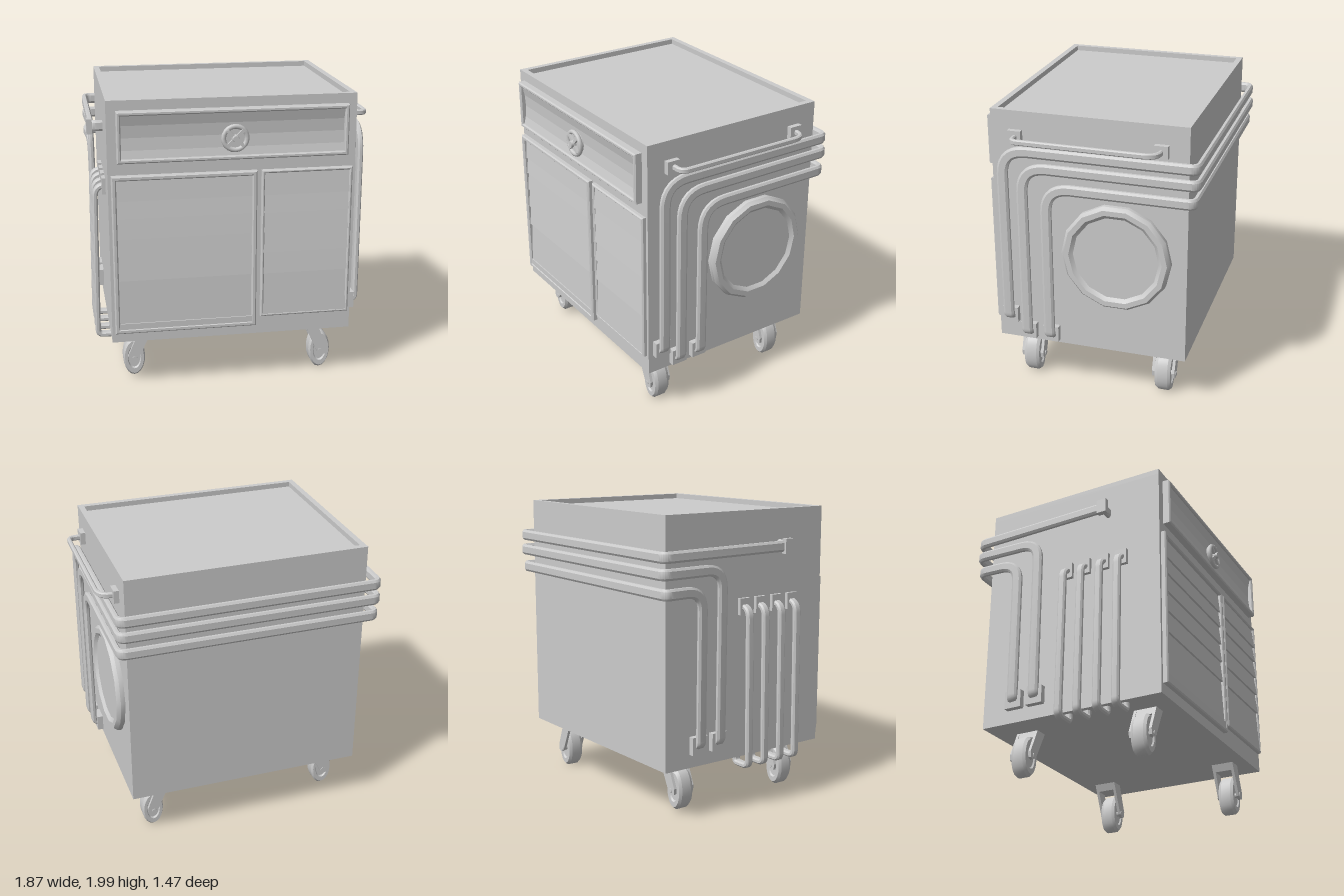
import * as THREE from 'three';
import { toCreasedNormals } from 'three/addons/utils/BufferGeometryUtils.js';

const V = (x, y, z) => new THREE.Vector3(x, y, z);

export function createModel() {
  const root = new THREE.Group();
  const mat = new THREE.MeshStandardMaterial({ color: 0xcccccc });

  const add = (name, geo, parent = root) => {
    const m = new THREE.Mesh(geo, mat);
    m.name = name;
    parent.add(m);
    return m;
  };
  // Box given by its limits
  const box = (name, x0, x1, y0, y1, z0, z1, parent) => {
    const m = add(name, new THREE.BoxGeometry(x1 - x0, y1 - y0, z1 - z0), parent);
    m.position.set((x0 + x1) / 2, (y0 + y1) / 2, (z0 + z1) / 2);
    return m;
  };
  const poly = (pts) => new THREE.Shape(pts.map(([x, y]) => new THREE.Vector2(x, y)));
  const rect = (x0, x1, y0, y1) => poly([[x0, y0], [x1, y0], [x1, y1], [x0, y1]]);
  // Rectangular frame with a bevelled front edge, growing along z
  const frameGeo = (x0, x1, y0, y1, w, depth, b = 0.008) => {
    const s = rect(x0 + b, x1 - b, y0 + b, y1 - b);
    s.holes.push(rect(x0 + w, x1 - w, y0 + w, y1 - w));
    return new THREE.ExtrudeGeometry(s, {
      depth: depth - b, bevelEnabled: b > 0, bevelThickness: b, bevelSize: b, bevelSegments: 1,
    });
  };
  // Profile of [z, y] points drawn out from x0 to x1
  const profileGeo = (pts, x0, x1) =>
    new THREE.ExtrudeGeometry(poly(pts.map(([z, y]) => [-z, y])), { depth: x1 - x0, bevelEnabled: false })
      .rotateY(Math.PI / 2).translate(x0, 0, 0);

  // Polyline with rounded corners: each point may carry a corner radius
  const rounded = (pts) => {
    const out = [pts[0][0]];
    for (let i = 1; i < pts.length - 1; i++) {
      const [p, r] = pts[i];
      const a = pts[i - 1][0].clone().sub(p).setLength(r).add(p);
      const b = pts[i + 1][0].clone().sub(p).setLength(r).add(p);
      out.push(...new THREE.QuadraticBezierCurve3(a, p, b).getPoints(7));
    }
    out.push(pts[pts.length - 1][0]);
    return out;
  };
  // Flat rounded bar swept along a path, its broad face starting towards n0
  const sweep = (pts, n0, halfW, halfT) => {
    const path = rounded(pts), pos = [], idx = [], n = n0.clone();
    const section = [[1, 0.45], [0.6, 1], [-0.6, 1], [-1, 0.45], [-1, -0.45], [-0.6, -1], [0.6, -1], [1, -0.45]];
    const k = section.length;
    path.forEach((p, i) => {
      const t = V(0, 0, 0);
      if (i > 0) t.add(p.clone().sub(path[i - 1]).normalize());
      if (i < path.length - 1) t.add(path[i + 1].clone().sub(p).normalize());
      t.normalize();
      n.addScaledVector(t, -n.dot(t)).normalize();
      const side = n.clone().cross(t);
      section.forEach(([u, v], j) => {
        pos.push(...p.clone().addScaledVector(side, u * halfW).addScaledVector(n, v * halfT).toArray());
        if (i < path.length - 1) {
          const a = i * k + j, b = i * k + (j + 1) % k;
          idx.push(a, b, b + k, a, b + k, a + k);
        }
      });
    });
    const g = new THREE.BufferGeometry();
    g.setAttribute('position', new THREE.Float32BufferAttribute(pos, 3));
    g.setIndex(idx);
    return toCreasedNormals(g, 0.6);
  };

  // Cabinet with a shallow tray top
  box('cabinet', -0.83, 0.8, 0.36, 1.965, -0.65, 0.66);
  add('topRim', frameGeo(-0.83, 0.8, -0.66, 0.65, 0.04, 0.04, 0).rotateX(-Math.PI / 2)).position.y = 1.96;

  // Top drawer with a hollowed panel
  add('drawerFrame', frameGeo(-0.77, 0.74, 1.6, 1.935, 0.02, 0.056)).position.z = 0.655;
  add('drawerPanel', profileGeo([[0.65, 1.61], [0.7, 1.61], [0.682, 1.68], [0.675, 1.76],
    [0.68, 1.84], [0.7, 1.925], [0.65, 1.925]], -0.755, 0.725));

  // Round drawer handle with crossed spokes
  const knob = new THREE.Group();
  knob.name = 'drawerHandle';
  knob.position.set(-0.01, 1.74, 0.7);
  root.add(knob);
  add('handleRim', new THREE.TorusGeometry(0.077, 0.016, 8, 20), knob);
  const back = add('handleBase', new THREE.CylinderGeometry(0.08, 0.08, 0.03, 20), knob);
  back.rotation.x = Math.PI / 2;
  back.position.z = -0.015;
  for (const a of [1, -1]) {
    const spoke = add('handleSpoke', new THREE.BoxGeometry(0.15, 0.022, 0.022), knob);
    spoke.rotation.z = a * Math.PI / 4;
    spoke.position.z = 0.006;
  }
  const hub = add('handleHub', new THREE.CylinderGeometry(0.02, 0.026, 0.036, 12), knob);
  hub.rotation.x = Math.PI / 2;
  hub.position.z = 0.015;

  // Louvred doors: overlapping slats inside a frame
  const louvres = (name, x0, x1, ys, zIn, zOut) => {
    const pts = [[0.64, ys[0]]];
    for (let i = 0; i < ys.length - 1; i++) pts.push([zIn, ys[i]], [zOut, ys[i + 1]]);
    pts.push([0.64, ys[ys.length - 1]]);
    add(name, profileGeo(pts, x0, x1));
  };
  const slats = [1.345, 1.225, 1.09, 0.95, 0.8];
  add('leftDoorFrame', frameGeo(-0.81, 0.14, 0.43, 1.515, 0.024, 0.04)).position.z = 0.655;
  box('leftDoorSill', -0.8, 0.13, 0.44, 0.5, 0.65, 0.69);
  louvres('leftDoorSlats', -0.79, 0.12, [1.5, ...slats, 0.49], 0.668, 0.682);
  add('rightDoorFrame', frameGeo(0.17, 0.78, 0.49, 1.515, 0.014, 0.034)).position.z = 0.655;
  louvres('rightDoorSlats', 0.18, 0.77, [1.505, ...slats, 0.5], 0.672, 0.687);

  // Round cover on the side
  const cover = [[0.37, 0], [0.37, 0.03], [0.35, 0.055], [0.315, 0.055], [0.29, 0.035], [0, 0.035]];
  const coverGeo = new THREE.LatheGeometry(cover.map(([r, y]) => new THREE.Vector2(r, y)), 14);
  add('sideCover', toCreasedNormals(coverGeo.rotateZ(-Math.PI / 2), 0.5)).position.set(0.8, 1.067, -0.18);

  // Three flat pipes wrapping round the back of the cabinet
  const XR = 0.857, XL = -0.905;
  const pipes = [
    { y: 1.75, z: 0.57, foot: 0.545, back: -0.712, left: [[V(XL, 1.76, 0.28), 0.04], [V(-0.82, 1.76, 0.28)]] },
    { y: 1.645, z: 0.44, foot: 0.44, back: -0.717, leftZ: -0.24 },
    { y: 1.52, z: 0.28, foot: 0.44, back: -0.7, leftZ: -0.4 },
  ];
  for (const { y, z, foot, back: zb, left, leftZ } of pipes) {
    const end = left || [[V(XL + 0.02, y, leftZ), 0.13], [V(XL + 0.03, 0.5, leftZ), 0.04], [V(-0.82, 0.5, leftZ)]];
    add('wrapPipe', sweep([
      [V(0.79, foot - 0.01, z)], [V(XR, foot - 0.01, z), 0.04], [V(XR, y, z), 0.17],
      [V(XR, y, zb), 0.05], [V(XL, y, zb), 0.05], ...end,
    ], V(0, -1, 0), 0.036, 0.018));
    box('pipeFoot', 0.79, 0.84, foot - 0.055, foot + 0.055, z - 0.055, z + 0.055);
    if (leftZ) box('pipeFoot', -0.87, -0.82, 0.45, 0.57, leftZ - 0.06, leftZ + 0.06);
    else box('pipeEndCap', -0.937, -0.9, 1.71, 1.81, 0.245, 0.315);
  }

  // Four hanging pipes on the other side, tucked under the base
  for (const z of [-0.025, 0.11, 0.25, 0.385]) {
    add('hangingPipe', sweep([
      [V(-0.82, 1.38, z)], [V(-0.9, 1.38, z), 0.075], [V(-0.912, 0.31, z), 0.04],
      [V(-0.78, 0.31, z), 0.03], [V(-0.78, 0.38, z)],
    ], V(0, 1, 0), 0.027, 0.018));
    box('hangingPipeCollar', -0.855, -0.82, 1.325, 1.435, z - 0.042, z + 0.042);
  }

  // Push bar high on the side
  add('pushBar', sweep([[V(0.79, 1.832, 0.485)], [V(0.915, 1.832, 0.485), 0.05],
    [V(0.92, 1.832, -0.49), 0.11], [V(0.79, 1.832, -0.47)]], V(0, 0, 1), 0.018, 0.014));
  for (const z of [0.49, -0.475]) box('pushBarMount', 0.79, 0.835, 1.79, 1.875, z - 0.045, z + 0.045);

  // Casters: narrow oval wheels in forks that lean outward
  const tyre = [[0, -0.045], [0.075, -0.045], [0.085, -0.055], [0.12, -0.055], [0.137, -0.035],
    [0.137, 0.035], [0.12, 0.055], [0.085, 0.055], [0.075, 0.045], [0, 0.045]];
  const tyreGeo = toCreasedNormals(
    new THREE.LatheGeometry(tyre.map(([r, y]) => new THREE.Vector2(r, y)), 20).rotateX(Math.PI / 2), 0.6);
  const casters = [[1, 0.63, 0.147, 0.485], [1, 0.63, 0.147, -0.47], [-1, -0.675, 0.172, 0.455], [-1, -0.675, 0.172, -0.42]];
  for (const [s, x, y, z] of casters) {
    const caster = new THREE.Group();
    caster.name = 'caster';
    caster.position.set(x, y, z);
    root.add(caster);
    add('wheel', tyreGeo, caster).scale.x = 0.55;
    const top = 0.365 - y;
    const arm = poly([[-0.12, top], [-0.03, top], [0.045, 0.02], [0.04, -0.02], [0.015, -0.03], [-0.02, -0.01]]
      .map(([u, v]) => [s * u, v]));
    const armGeo = new THREE.ExtrudeGeometry(arm, { depth: 0.02, bevelEnabled: false });
    for (const dz of [-0.08, 0.06]) add('forkArm', armGeo, caster).position.z = dz;
    const crown = poly([[-0.12, top], [-0.03, top], [-0.012, top - 0.055], [-0.096, top - 0.055]].map(([u, v]) => [s * u, v]));
    add('forkCrown', new THREE.ExtrudeGeometry(crown, { depth: 0.15, bevelEnabled: false }), caster).position.z = -0.075;
    const axle = add('axle', new THREE.CylinderGeometry(0.018, 0.018, 0.17, 10), caster);
    axle.rotation.x = Math.PI / 2;
  }

  return root;
}
